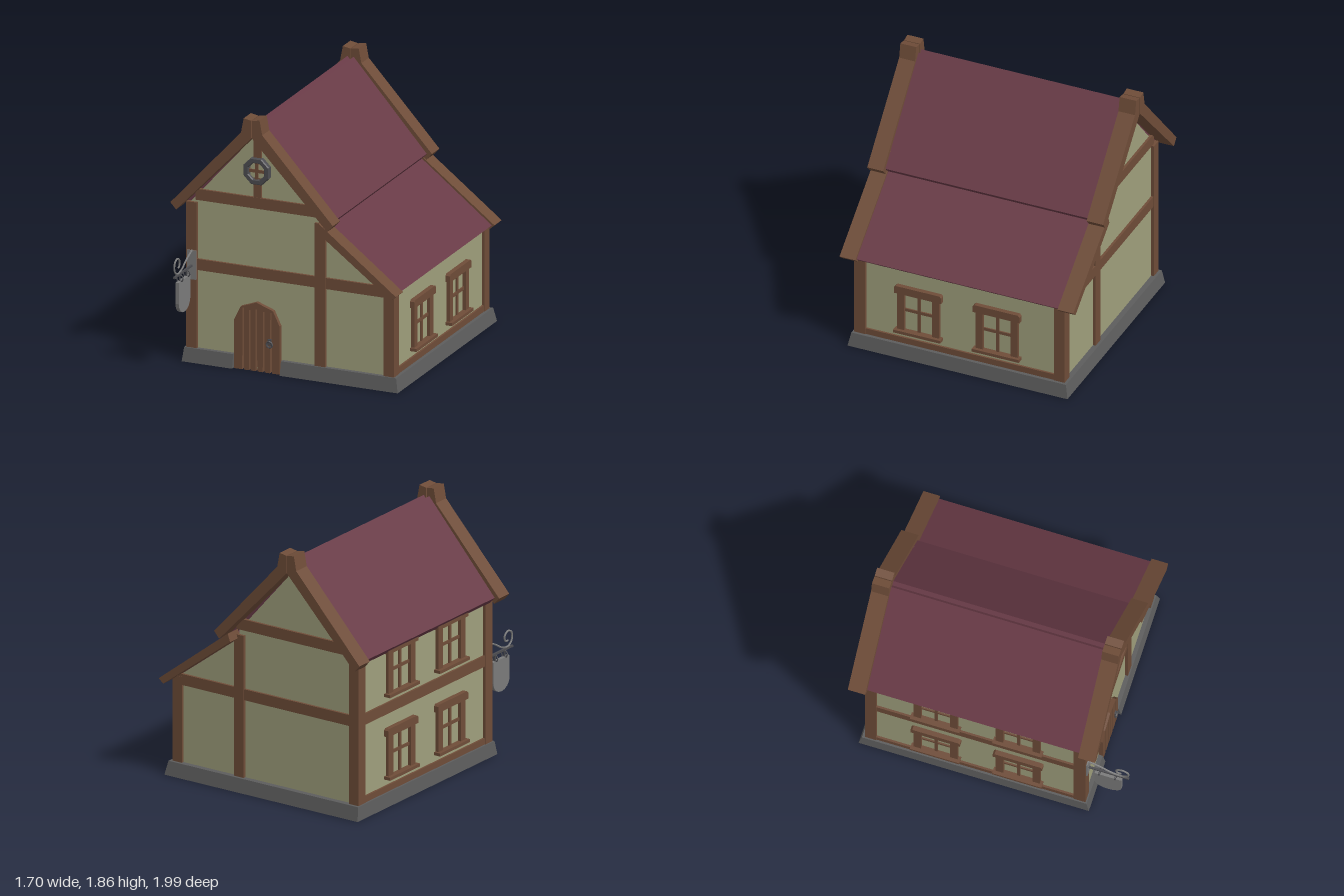
import * as THREE from 'three';

const mat = (color) => new THREE.MeshStandardMaterial({ color, flatShading: true });

export function createModel() {
  const root = new THREE.Group();
  const plaster = mat(0x9f9f7c), wood = mat(0x6e4c38), tiles = mat(0x683a46);
  const stone = mat(0x5c5c5c), iron = mat(0x4c4c50), board = mat(0x7a7a7a);
  const CX = -0.235; // ridge line
  const FRONT = 0.67, BACK = -0.88, LEFT = -0.75, RIGHT = 0.78; // plaster faces

  const add = (name, geo, material, parent = root) => {
    const m = new THREE.Mesh(geo, material);
    m.name = name;
    parent.add(m);
    return m;
  };
  // box given by its limits
  const box = (name, material, x0, x1, y0, y1, z0, z1, parent = root) => {
    const m = add(name, new THREE.BoxGeometry(x1 - x0, y1 - y0, z1 - z0), material, parent);
    m.position.set((x0 + x1) / 2, (y0 + y1) / 2, (z0 + z1) / 2);
    return m;
  };
  // xy outline pushed from z0 to z1
  const slab = (name, material, pts, z0, z1, parent = root) => {
    const shape = new THREE.Shape(pts.map(([x, y]) => new THREE.Vector2(x, y)));
    const geo = new THREE.ExtrudeGeometry(shape, { depth: z1 - z0, bevelEnabled: false });
    geo.translate(0, 0, z0);
    return add(name, geo, material, parent);
  };

  // plastered body: main gable with a lean-to on the left
  slab('walls', plaster, [[LEFT, 0.01], [RIGHT, 0.01], [RIGHT, 0.71], [0.25, 1.11], [0.25, 1.17],
    [CX, 1.73], [LEFT, 1.15]], BACK, FRONT);

  // sloping stone plinth, open at the door: [outer bottom, outer top, inner] per corner
  const stations = [
    [-0.05, 0.72, -0.05, 0.70, -0.05, FRONT],
    [0.84, 0.72, 0.82, 0.70, RIGHT, FRONT],
    [0.84, -0.94, 0.82, -0.92, RIGHT, BACK],
    [-0.79, -0.94, -0.78, -0.92, LEFT, BACK],
    [-0.79, 0.72, -0.78, 0.70, LEFT, FRONT],
    [-0.41, 0.72, -0.41, 0.70, -0.41, FRONT],
  ];
  const pos = [], idx = [];
  stations.forEach(([ax, az, bx, bz, cx, cz], i) => {
    pos.push(ax, 0, az, bx, 0.1, bz, cx, 0.1, cz, cx, 0, cz);
    if (i === stations.length - 1) return;
    for (let k = 0; k < 4; k++) {
      const a = i * 4 + k, b = i * 4 + (k + 1) % 4;
      idx.push(a, a + 4, b, b, a + 4, b + 4);
    }
  });
  const e = (stations.length - 1) * 4;
  idx.push(0, 1, 2, 0, 2, 3, e, e + 2, e + 1, e, e + 3, e + 2);
  let plinth = new THREE.BufferGeometry();
  plinth.setAttribute('position', new THREE.Float32BufferAttribute(pos, 3));
  plinth.setIndex(idx);
  plinth = plinth.toNonIndexed();
  plinth.computeVertexNormals();
  const plinthMat = stone.clone();
  plinthMat.side = THREE.DoubleSide;
  add('plinth', plinth, plinthMat);

  // timber frame on both gable walls
  for (const [z0, z1, s] of [[FRONT - 0.065, FRONT + 0.02, 1], [BACK - 0.02, BACK + 0.06, -1]]) {
    box('leftCornerPost', wood, -0.77, -0.69, 0.1, 1.16, z0, z1);
    box('rightCornerPost', wood, 0.72, 0.80, 0.1, 0.73, z0, z1);
    const f0 = s > 0 ? FRONT - 0.02 : BACK - 0.02, f1 = f0 + 0.04;
    box('middlePost', wood, 0.20, 0.28, 0.1, 1.14, f0, f1);
    const b0 = f0 + 0.002, b1 = f1 - 0.002;
    box('middleBeam', wood, -0.70, 0.76, 0.67, 0.75, b0, b1);
    box('upperBeam', wood, -0.70, 0.26, 1.18, 1.26, b0, b1);
  }
  box('gablePost', wood, CX - 0.03, CX + 0.03, 1.25, 1.72, FRONT - 0.02, FRONT + 0.015);
  // timber along the side walls
  box('leftSill', wood, -0.765, -0.72, 0.1, 0.145, BACK, FRONT);
  box('leftMiddleBeam', wood, -0.765, -0.72, 0.67, 0.75, BACK, FRONT);
  box('rightSill', wood, 0.75, 0.795, 0.1, 0.145, BACK, FRONT);

  // main roof: panels between thick gable boards, mirrored about the ridge
  for (const s of [1, -1]) {
    const side = (pts) => pts.map(([x, y]) => [CX + s * x, y]);
    slab('roofPanel', tiles, side([[0.575, 1.167], [0.023, 1.795], [-0.002, 1.765], [0, 1.70],
      [0.535, 1.123]]), -0.872, 0.66);
    const gable = side([[0.613, 1.17], [0.08, 1.755], [0.06, 1.86], [0.003, 1.85], [0.003, 1.72],
      [0.57, 1.122]]);
    slab('frontGableBoard', wood, gable, 0.66, 0.78);
    slab('backGableBoard', wood, gable, -1.0, -0.875);
  }
  // lean-to roof
  slab('leanToPanel', tiles, [[0.80, 0.69], [0.832, 0.717], [0.27, 1.155], [0.25, 1.10]], -0.87, 0.657);
  const leanBoard = [[0.815, 0.687], [0.852, 0.72], [0.27, 1.17], [0.25, 1.112]];
  slab('leanToFrontBoard', wood, leanBoard, 0.655, 0.775);
  slab('leanToBackBoard', wood, leanBoard, -0.99, -0.87);

  // cross-barred window, facing +z, standing on its sill
  const makeWindow = () => {
    const g = new THREE.Group();
    g.name = 'window';
    box('windowSill', wood, -0.178, 0.178, 0, 0.022, -0.01, 0.05, g);
    slab('lintel', wood, [[-0.178, 0.315], [0.178, 0.315], [0.178, 0.36], [0.165, 0.373],
      [-0.165, 0.373], [-0.178, 0.36]], -0.01, 0.035, g);
    for (const s of [1, -1]) {
      const jamb = box('jamb', wood, -0.027, 0.027, 0.02, 0.32, -0.01, 0.025, g);
      jamb.position.x = s * 0.132;
    }
    box('uprightBar', wood, -0.011, 0.011, 0.02, 0.32, -0.01, 0.012, g);
    box('crossBar', wood, -0.11, 0.11, 0.17, 0.192, -0.01, 0.011, g);
    return g;
  };
  const placeWindow = (x, y, z, turn) => {
    const w = makeWindow();
    w.position.set(x, y, z);
    w.rotation.y = turn;
    root.add(w);
  };
  for (const z of [0.203, -0.39]) {
    placeWindow(RIGHT, 0.192, z, Math.PI / 2);
    for (const y of [0.192, 0.797]) placeWindow(LEFT, y, z, -Math.PI / 2);
  }

  // arched door with slits between the planks
  const door = [[-0.06, 0], [-0.06, 0.35], [-0.11, 0.455], [CX, 0.5], [-0.355, 0.455], [-0.405, 0.35], [-0.405, 0]];
  for (const [x, top] of [[-0.335, 0.45], [-0.285, 0.44], [CX, 0.45], [-0.18, 0.44], [-0.125, 0.44]])
    door.push([x - 0.007, 0], [x - 0.005, top], [x + 0.005, top], [x + 0.007, 0]);
  slab('door', wood, door, FRONT - 0.01, 0.70);
  box('handlePlate', iron, -0.145, -0.12, 0.205, 0.25, 0.695, 0.71);
  const handle = add('handleRing', new THREE.TorusGeometry(0.022, 0.007, 5, 8), iron);
  handle.position.set(-0.132, 0.212, 0.712);

  // octagonal gable window
  const ringShape = new THREE.Shape(), hole = new THREE.Path();
  for (let i = 0; i < 8; i++) {
    const a = (i + 0.5) * Math.PI / 4, c = Math.cos(a), d = Math.sin(a);
    ringShape[i ? 'lineTo' : 'moveTo'](c * 0.097, d * 0.097);
    hole[i ? 'lineTo' : 'moveTo'](c * 0.07, d * 0.07);
  }
  ringShape.holes.push(hole);
  const ring = add('roundWindowFrame', new THREE.ExtrudeGeometry(ringShape, {
    depth: 0.03, bevelEnabled: true, bevelSize: 0.006, bevelThickness: 0.008, bevelSegments: 1,
  }), iron);
  ring.position.set(CX, 1.455, FRONT);
  box('roundWindowPane', plaster, CX - 0.05, CX + 0.05, 1.405, 1.505, FRONT, FRONT + 0.017);
  box('roundWindowUpright', wood, CX - 0.011, CX + 0.011, 1.385, 1.525, FRONT, FRONT + 0.027);
  box('roundWindowBar', wood, CX - 0.07, CX + 0.07, 1.444, 1.466, FRONT, FRONT + 0.025);

  // hanging sign on a scrolled bracket
  const SX = -0.725;
  box('bracketPlate', board, SX - 0.033, SX + 0.033, 0.60, 0.81, 0.685, 0.70);
  box('bracketBar', iron, SX - 0.007, SX + 0.007, 0.693, 0.707, 0.69, 0.99);
  const curl = [[0.69, 0.81], [0.78, 0.772], [0.87, 0.722], [0.94, 0.713], [0.983, 0.75], [0.978, 0.805],
    [0.935, 0.824], [0.897, 0.795], [0.907, 0.757], [0.935, 0.755]];
  const path = new THREE.CatmullRomCurve3(curl.map(([z, y]) => new THREE.Vector3(SX, y, z)));
  add('bracketScroll', new THREE.TubeGeometry(path, 40, 0.007, 6), board);
  for (const z of [0.78, 0.895]) {
    box('hanger', iron, SX - 0.005, SX + 0.005, 0.645, 0.70, z - 0.005, z + 0.005);
    const loop = add('hangerRing', new THREE.TorusGeometry(0.026, 0.005, 5, 8), iron);
    loop.position.set(SX, 0.67, z);
  }
  const outline = [[0.097, 0.65], [-0.097, 0.65]];
  for (let i = 0; i <= 8; i++) {
    const a = Math.PI + i * Math.PI / 8;
    outline.push([Math.cos(a) * 0.097, 0.495 + Math.sin(a) * 0.083]);
  }
  const sign = slab('signBoard', board, outline, -0.013, 0.013);
  sign.rotation.y = Math.PI / 2;
  sign.position.set(SX, 0, 0.842);

  return root;
}
